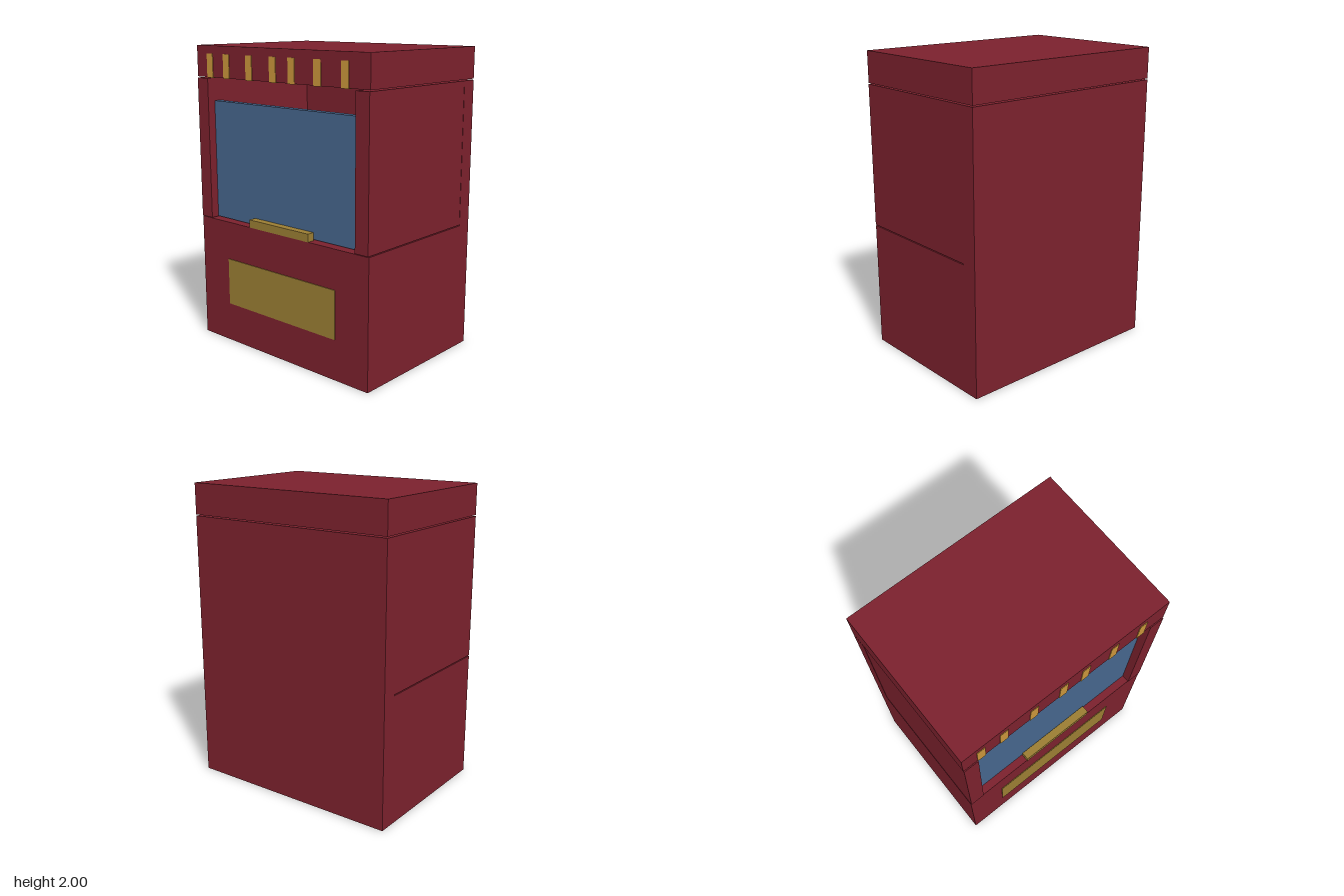
import * as THREE from 'three';

export function createModel() {
  const model = new THREE.Group();
  model.name = 'cabinet';

  const material = (name, color) => {
    const m = new THREE.MeshStandardMaterial({ color });
    m.name = name;
    return m;
  };
  const red = material('dark red', 0x7b212d);
  const blue = material('slate blue', 0x46668c);
  const brass = material('dull brass', 0x9a7d33);
  const gold = material('gold', 0xc9953b);

  // Box given by its limits on each axis
  const box = (name, mat, [x0, x1], [y0, y1], [z0, z1]) => {
    const mesh = new THREE.Mesh(new THREE.BoxGeometry(x1 - x0, y1 - y0, z1 - z0), mat);
    mesh.position.set((x0 + x1) / 2, (y0 + y1) / 2, (z0 + z1) / 2);
    mesh.name = name;
    model.add(mesh);
    return mesh;
  };

  // Base and back wall share one L-shaped side profile, drawn as (z, y)
  const profile = new THREE.Shape([
    [-0.525, 0], [0.522, 0], [0.522, 0.842], [-0.42, 0.842], [-0.42, 1.788], [-0.525, 1.788],
  ].map(([z, y]) => new THREE.Vector2(-z, y)));
  const bodyGeometry = new THREE.ExtrudeGeometry(profile, { depth: 1.47, bevelEnabled: false });
  bodyGeometry.rotateY(Math.PI / 2).translate(-0.735, 0, 0);
  const body = new THREE.Mesh(bodyGeometry, red);
  body.name = 'baseAndBack';
  model.add(body);

  // Side walls, with hairline joints above and below
  for (const [name, side] of [['leftWall', 1], ['rightWall', -1]]) {
    const wall = box(name, red, [0.633, 0.733], [0.847, 1.788], [-0.42, 0.527]);
    wall.position.x *= side;
  }

  // Lid
  box('lid', red, [-0.735, 0.735], [1.796, 2], [-0.525, 0.522]);

  // Recessed panel in the opening, with open space above and behind it
  box('screen', blue, [-0.633, 0.633], [0.849, 1.638], [0.42, 0.472]);

  // Ledge in front of the panel
  box('ledge', brass, [-0.263, 0.26], [0.843, 0.895], [0.475, 0.527]);

  // Plate on the base
  box('basePlate', brass, [-0.478, 0.475], [0.267, 0.585], [0.519, 0.527]);

  // Unevenly spaced bars set into the lid
  for (const x of [-0.608, -0.45, -0.24, -0.029, 0.13, 0.339, 0.551]) {
    box('lidBar', gold, [x - 0.028, x + 0.028], [1.793, 1.949], [0.475, 0.526]);
  }

  return model;
}
